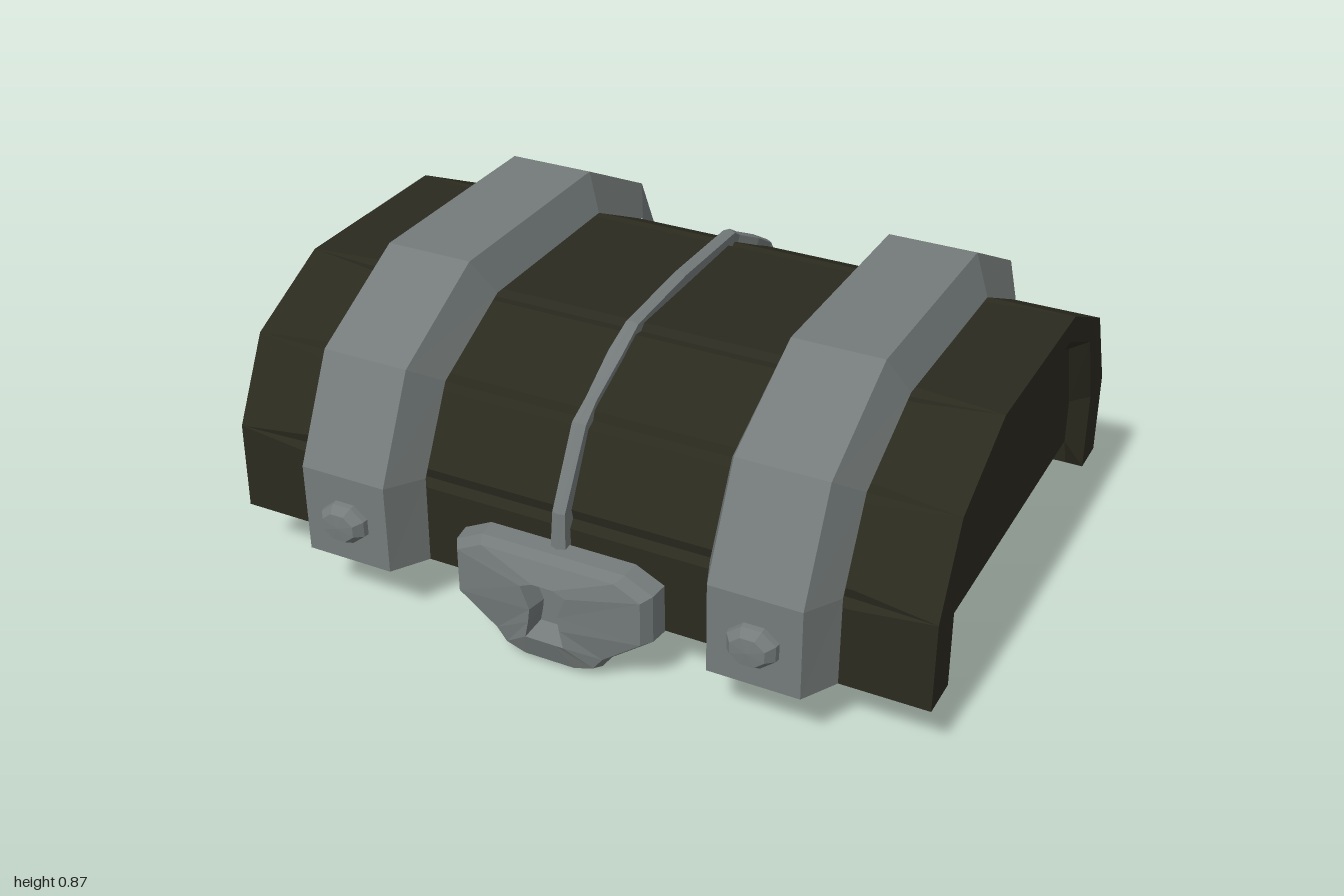
import * as THREE from 'three';

const wood = new THREE.MeshStandardMaterial({ color: 0x2b2a1f, side: THREE.DoubleSide });
wood.name = 'darkWood';
const iron = new THREE.MeshStandardMaterial({ color: 0x747b7a });
iron.name = 'greyIron';

// Flat-shaded geometry from a list of polygons
function faceted(faces) {
  const pos = [];
  for (const f of faces)
    for (let k = 1; k < f.length - 1; k++) pos.push(...f[0], ...f[k], ...f[k + 1]);
  const g = new THREE.BufferGeometry();
  g.setAttribute('position', new THREE.Float32BufferAttribute(pos, 3));
  g.computeVertexNormals();
  return g;
}

// Quads between successive rings of equal point count
function loft(rings, closed = false) {
  const faces = [];
  for (let i = 0; i < rings.length - 1; i++) {
    const a = rings[i], b = rings[i + 1], n = a.length;
    for (let j = 0; j < (closed ? n : n - 1); j++) {
      const k = (j + 1) % n;
      faces.push([a[j], b[j], b[k], a[k]]);
    }
  }
  return faces;
}

function add(parent, name, geometry, material) {
  const m = new THREE.Mesh(geometry, material);
  m.name = name;
  parent.add(m);
  return m;
}

// Arch profiles as [z, y], running from the front over the top to the back
const OUTER = [[0.645, 0.15], [0.64, 0.4], [0.52, 0.63], [0.25, 0.762], [-0.31, 0.762], [-0.58, 0.63], [-0.69, 0.39], [-0.69, 0.15]];
const RIM = [[0.53, 0.15], [0.53, 0.38], [0.44, 0.6], [0.23, 0.7], [-0.28, 0.7], [-0.5, 0.595], [-0.58, 0.38], [-0.58, 0.15]];
const RECESS = [[0.5, 0.24], [0.5, 0.37], [0.41, 0.575], [0.22, 0.66], [-0.27, 0.66], [-0.48, 0.57], [-0.545, 0.37], [-0.545, 0.24]];
const INNER = [[0.53, 0.15], [0.513, 0.3], [0.475, 0.625], [0.22, 0.625], [-0.27, 0.625], [-0.525, 0.625], [-0.563, 0.3], [-0.58, 0.15]];
const CROWN = [[0.76, 0.165], [0.76, 0.42], [0.62, 0.7], [0.3, 0.865], [-0.35, 0.865], [-0.67, 0.7], [-0.805, 0.42], [-0.805, 0.17]];

const at = (profile, x) => profile.map(([z, y]) => [x, y, z]);

// Each corner becomes a small groove of half-width g (zero gives a sharp corner)
function grooved(profile, g) {
  const out = [];
  profile.forEach((p, i) => {
    if (i === 0 || i === profile.length - 1) { out.push(p); return; }
    const toward = (q) => {
      const d = Math.hypot(q[0] - p[0], q[1] - p[1]);
      return [p[0] + (q[0] - p[0]) * g / d, p[1] + (q[1] - p[1]) * g / d];
    };
    const s = g * 0.7, l = Math.hypot(p[0] + 0.025, p[1] - 0.2);
    const dent = [p[0] - (p[0] + 0.025) / l * s, p[1] - (p[1] - 0.2) / l * s];
    out.push(toward(profile[i - 1]), dent, toward(profile[i + 1]));
  });
  return out;
}

function buildLid(group) {
  const END = 1, PANEL = 0.95, INSIDE = 0.89;
  const ring = (p, x, g = 0) => at(grooved(p, g), x);
  const faces = loft([
    ring(OUTER, -END), ring(OUTER, -0.78, 0.026), ring(OUTER, 0.78, 0.026), ring(OUTER, END),
    ring(RIM, END), ring(RECESS, PANEL), ring(INNER, PANEL),
    ring(INNER, -PANEL), ring(RECESS, -PANEL), ring(RIM, -END), ring(OUTER, -END),
  ]);
  // Bottom edges of the front and back walls
  for (const i of [0, 7]) {
    const q = [at(OUTER, -END)[i], at(RIM, -END)[i], at(RIM, END)[i], at(OUTER, END)[i]];
    faces.push(i ? q.reverse() : q);
    for (const s of [-1, 1])
      faces.push([at(RIM, s * END)[i], at(RECESS, s * PANEL)[i], at(INNER, s * PANEL)[i]]);
  }
  add(group, 'archedLid', faceted(faces), wood);
  // Recessed end panels: outer face, inner face and lower edge
  for (const s of [-1, 1]) {
    const out = at(RECESS, s * PANEL);
    const back = at([[0.52, 0.24], ...INNER.slice(1, 7), [-0.57, 0.24]], s * INSIDE).reverse();
    const edge = [out[0], out[7], back[0], back[7]];
    const panel = [out, back, edge].map((f) => (s > 0 ? f : f.reverse()));
    add(group, s > 0 ? 'leftEndPanel' : 'rightEndPanel', faceted(panel), wood);
  }
}

function buildBand(group, side) {
  const band = new THREE.Group();
  band.name = side > 0 ? 'leftBand' : 'rightBand';
  const rings = [at(OUTER, -0.175), at(CROWN, -0.125), at(CROWN, 0.125), at(OUTER, 0.175)];
  const faces = loft(rings);
  faces.push(rings.map((r) => r[0]).reverse(), rings.map((r) => r[7]));
  add(band, 'ironBand', faceted(faces), iron);
  // Faceted rivet on the front
  const profile = [[0.073, 0], [0.07, 0.018], [0.05, 0.043], [0, 0.046]].map((p) => new THREE.Vector2(...p));
  const g = new THREE.LatheGeometry(profile, 8, Math.PI / 8).toNonIndexed();
  g.computeVertexNormals();
  g.rotateX(Math.PI / 2);
  g.scale(1, 0.82, 1);
  add(band, 'rivet', g, iron).position.set(0, 0.288, 0.757);
  band.position.x = side * 0.585;
  group.add(band);
}

function buildLock(group) {
  // Left-hand halves of the outlines, mirrored into full loops
  const loop = (half) => [...half, ...half.map(([x, y]) => [-x, y]).reverse()];
  const plate = loop([[0.21, 0.33], [0.29, 0.29], [0.29, 0.15], [0.17, 0.06], [0.14, 0.02], [0.08, 0]]);
  const hole = loop([[0.03, 0.26], [0.065, 0.245], [0.04, 0.18], [0.045, 0.14], [0.055, 0.09], [0.03, 0.09]]);
  const scaled = (o, s, z) => o.map(([x, y]) => [x * s, 0.175 + (y - 0.175) * s, z]);
  const rings = [
    scaled(plate, 0, 0.648), scaled(plate, 1, 0.648), scaled(plate, 0.98, 0.7), scaled(plate, 0.91, 0.732),
    scaled(hole, 1, 0.757), scaled(hole, 0.75, 0.7), scaled(hole, 0, 0.7),
  ];
  add(group, 'lockPlate', faceted(loft(rings, true)), iron);
}

function buildStrip(group) {
  // z, y, sideways offset, half width
  const path = [
    [0.68, 0.31, 0, 0.022], [0.67, 0.43, 0, 0.018], [0.55, 0.63, -0.002, 0.02], [0.49, 0.67, 0, 0.016],
    [0.35, 0.738, -0.003, 0.021], [0.26, 0.78, -0.002, 0.018], [-0.02, 0.798, -0.002, 0.018], [-0.33, 0.79, -0.004, 0.018],
    [-0.39, 0.755, -0.012, 0.014], [-0.48, 0.71, 0, 0.022], [-0.6, 0.64, -0.006, 0.014], [-0.655, 0.53, 0, 0.024],
  ];
  const ring = (s, depth) => path.map(([z, y, o, w]) => {
    const l = Math.hypot(z, y - 0.2);
    return [o + s * w, y - (y - 0.2) / l * depth, z - z / l * depth];
  });
  const rings = [ring(-1, 0.05), ring(-1, 0.008), ring(0, 0), ring(1, 0.008), ring(1, 0.05)];
  const faces = loft(rings);
  faces.push(rings.map((r) => r[0]).reverse(), rings.map((r) => r[path.length - 1]));
  add(group, 'centreStrip', faceted(faces), iron);
}

export function createModel() {
  const group = new THREE.Group();
  group.name = 'chestLid';
  buildLid(group);
  for (const side of [-1, 1]) buildBand(group, side);
  buildLock(group);
  buildStrip(group);
  return group;
}
